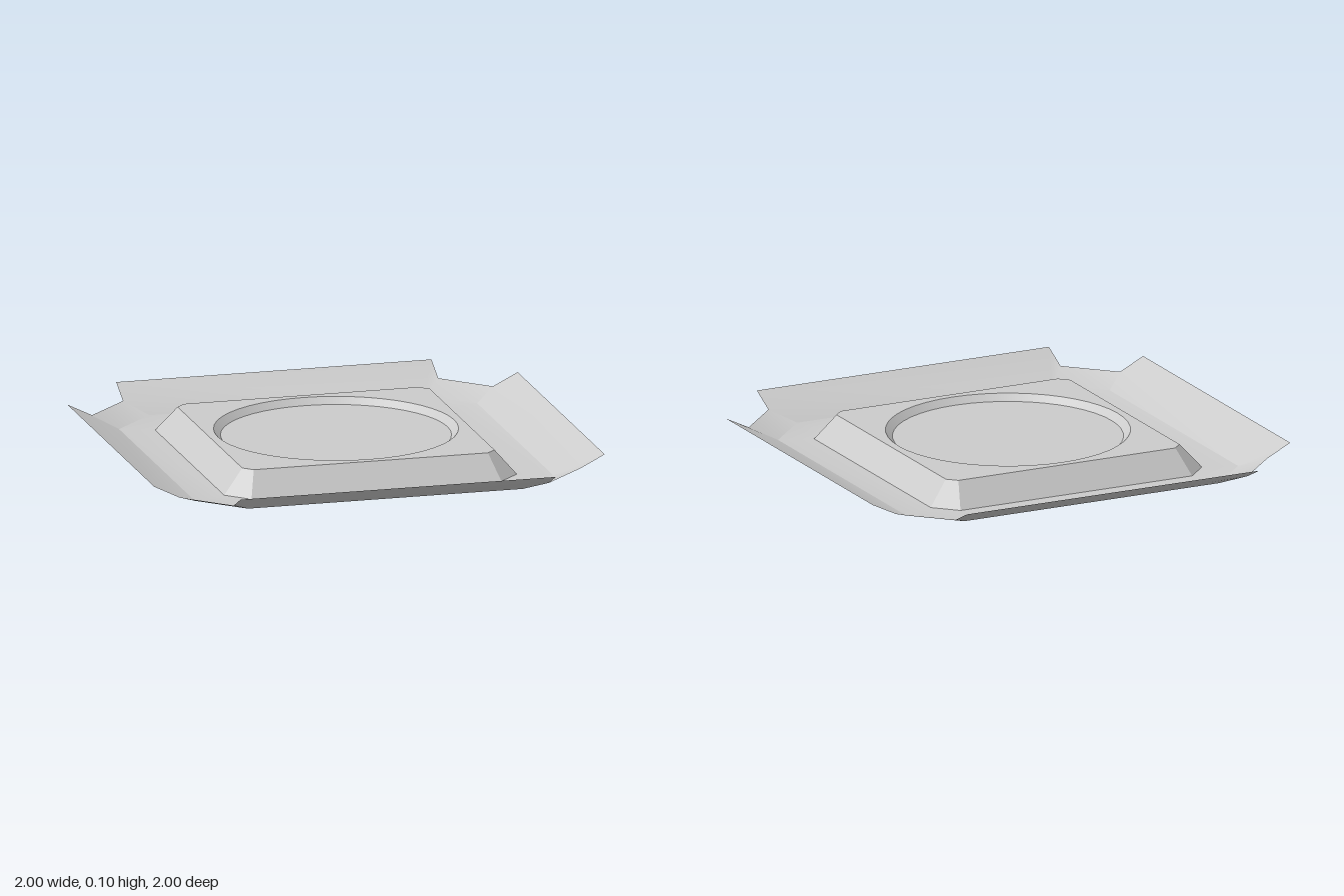
import * as THREE from 'three';
import { toCreasedNormals } from 'three/addons/utils/BufferGeometryUtils.js';

const TOP = 0.105, DEPTH = 0.028, RIM = 0.525, BOTTOM = 0.495, SEGMENTS = 48;

// Fans each convex polygon into triangles and repeats it around the four sides
function fourSided(polygons, crease) {
  const position = [];
  for (let k = 0; k < 4; k++) {
    const c = [1, 0, -1, 0][k], s = [0, 1, 0, -1][k];
    for (const polygon of polygons) {
      const p = polygon.map(([x, y, z]) => [c * x + s * z, y, c * z - s * x]);
      for (let i = 1; i < p.length - 1; i++) position.push(...p[0], ...p[i], ...p[i + 1]);
    }
  }
  const geometry = new THREE.BufferGeometry();
  geometry.setAttribute('position', new THREE.Float32BufferAttribute(position, 3));
  return toCreasedNormals(geometry, crease);
}

// One side and one corner of a band between two chamfered squares [half side, chamfer start, y]
function band([h, c, y], [h2, c2, y2]) {
  return [
    [[-c, y, h], [c, y, h], [c2, y2, h2], [-c2, y2, h2]],
    [[c, y, h], [h, y, c], [h2, y2, c2], [c2, y2, h2]],
  ];
}

export function createModel() {
  const group = new THREE.Group();
  const material = new THREE.MeshStandardMaterial({ color: 0xcccccc, side: THREE.DoubleSide });
  const add = (name, geometry) => {
    const mesh = new THREE.Mesh(geometry, material);
    mesh.name = name;
    group.add(mesh);
    return mesh;
  };

  const floorEdge = [0.795, 0.61, 0], foot = [0.65, 0.555, 0], crown = [0.56, 0.52, TOP];
  const [h, c] = floorEdge;

  // Flat floor with upturned flanges and notched, sloping corners
  const flange = [[-c, 0, h], [-0.7, 0.045, 0.89], [-0.7, 0.1, 1], [0.7, 0.1, 1], [0.7, 0.045, 0.89], [c, 0, h]];
  const corner = [[c, 0, h], [0.7, 0.045, 0.89], [0.89, 0.045, 0.7], [h, 0, c]];
  add('trayAndFlanges', fourSided([...band(floorEdge, foot), flange, corner], 0.4));

  // Sloping sides of the raised platform
  add('platformSides', fourSided(band(foot, crown), 0.3));

  // Platform top with a round opening
  const [a, b] = crown;
  const outline = new THREE.Shape(
    [[a, -b], [a, b], [b, a], [-b, a], [-a, b], [-a, -b], [-b, -a], [b, -a]].map((p) => new THREE.Vector2(...p)));
  outline.holes.push(new THREE.Path().absarc(0, 0, RIM, 0, Math.PI * 2, true));
  const plate = add('platformTop', new THREE.ShapeGeometry(outline, SEGMENTS / 2).rotateX(-Math.PI / 2));
  plate.position.y = TOP;

  // Shallow round recess
  const wall = [new THREE.Vector2(BOTTOM, TOP - DEPTH), new THREE.Vector2(RIM, TOP)];
  const recessWall = new THREE.LatheGeometry(wall.reverse(), SEGMENTS);
  add('recessWall', recessWall);
  const disc = add('recessFloor', new THREE.CircleGeometry(BOTTOM, SEGMENTS).rotateX(-Math.PI / 2));
  disc.position.y = TOP - DEPTH;

  return group;
}
